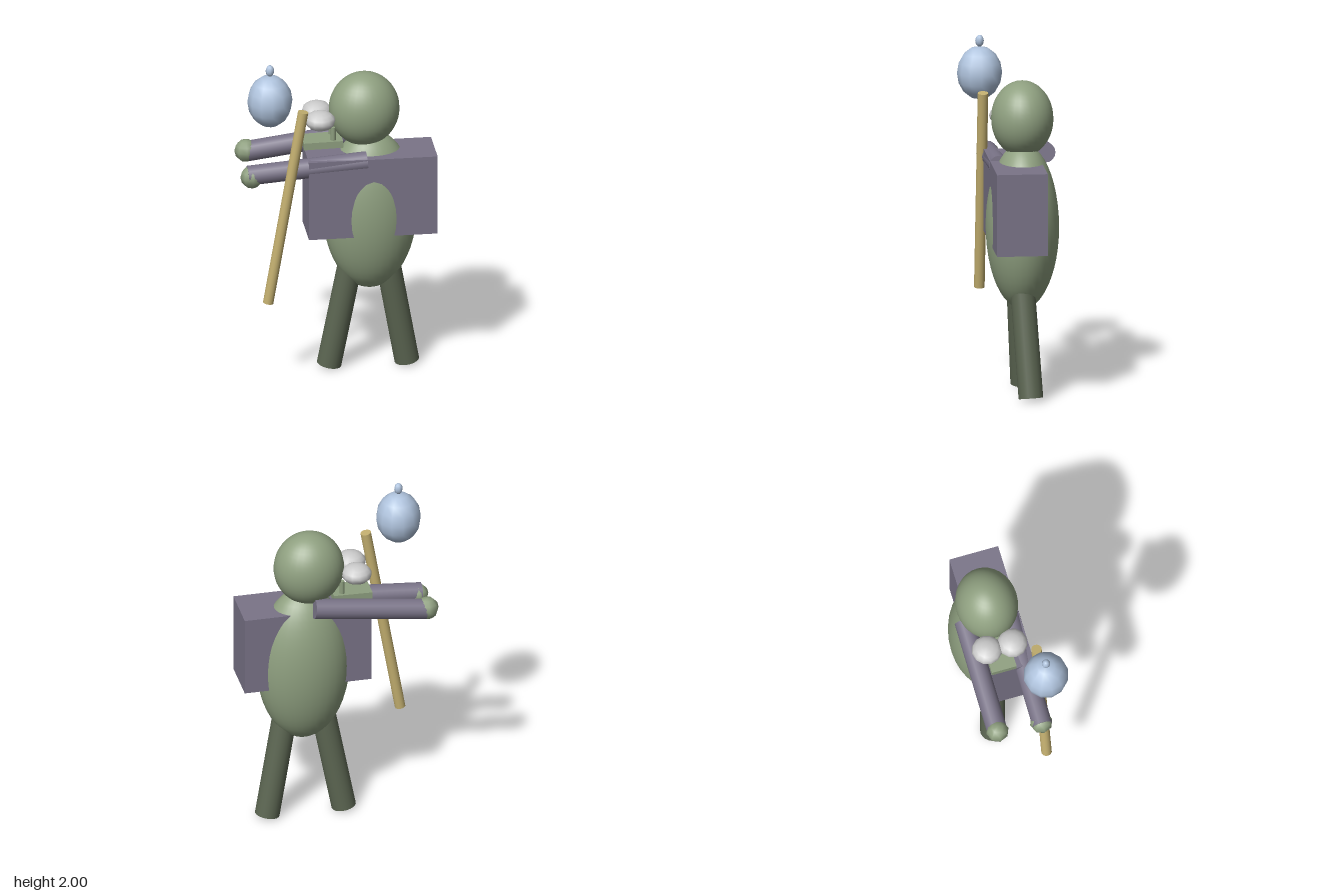
import * as THREE from 'three';

const mat = (color) => new THREE.MeshStandardMaterial({ color });

export function createModel() {
  const model = new THREE.Group();
  const skin = mat(0x8fa080);
  const legSkin = mat(0x5c6652);
  const cloth = mat(0x7a7488);
  const wood = mat(0xc4b070);
  const glass = mat(0xb0c4de);
  const white = mat(0xf0f0f0);

  const add = (name, geometry, material, x = 0, y = 0, z = 0) => {
    const mesh = new THREE.Mesh(geometry, material);
    mesh.name = name;
    mesh.position.set(x, y, z);
    model.add(mesh);
    return mesh;
  };

  // Sphere stretched to three radii
  const ellipsoid = (name, material, [x, y, z], [rx, ry, rz], w = 32, h = 24) =>
    add(name, new THREE.SphereGeometry(1, w, h).scale(rx, ry, rz), material, x, y, z);

  // Cylinder running between two points
  const rod = (name, material, from, to, radius, sides = 16) => {
    const a = new THREE.Vector3(...from);
    const b = new THREE.Vector3(...to);
    const dir = b.clone().sub(a);
    const mesh = add(name, new THREE.CylinderGeometry(radius, radius, dir.length(), sides), material);
    mesh.position.copy(a).add(b).multiplyScalar(0.5);
    mesh.quaternion.setFromUnitVectors(new THREE.Vector3(0, 1, 0), dir.normalize());
    return mesh;
  };

  // Body, head and boxy vest
  ellipsoid('body', skin, [0.2, 0.99, -0.053], [0.275, 0.49, 0.213]);
  ellipsoid('head', skin, [0.167, 1.62, -0.056], [0.206, 0.222, 0.181]);
  add('vest', new THREE.BoxGeometry(0.753, 0.485, 0.295), cloth, 0.196, 1.128, -0.015);

  // Face, turned towards -x: bill, nostril posts and eyes
  const bill = add('bill', new THREE.BoxGeometry(0.23, 0.042, 0.15), skin, -0.08, 1.427, -0.056);
  bill.rotation.z = 0.02;
  for (const side of [-1, 1]) {
    rod('nostrilPost', skin, [-0.02, 1.42, -0.056 + side * 0.047], [-0.02, 1.53, -0.056 + side * 0.047], 0.015, 8);
    ellipsoid('eye', white, [-0.1, 1.587, -0.056 + side * 0.077], [0.089, 0.058, 0.089], 12, 8);
  }

  // Legs spreading from the hips
  rod('rightLeg', legSkin, [-0.035, 0.013, -0.08], [0.098, 0.73, -0.038], 0.072, 20);
  rod('leftLeg', legSkin, [0.42, 0.013, -0.08], [0.29, 0.73, -0.038], 0.072, 20);

  // Arms reaching forward, with hands
  rod('frontArm', cloth, [-0.53, 1.288, 0.076], [0.165, 1.342, 0.079], 0.058);
  rod('backArm', cloth, [-0.5, 1.33, -0.19], [0.165, 1.415, -0.19], 0.06);
  ellipsoid('frontHand', skin, [-0.508, 1.278, 0.075], [0.067, 0.067, 0.067], 8, 6);
  ellipsoid('backHand', skin, [-0.508, 1.335, -0.19], [0.067, 0.067, 0.067], 8, 6);

  // Staff with a floating orb and its small finial
  rod('staff', wood, [-0.42, 0.505, 0.133], [-0.215, 1.695, 0.133], 0.031);
  ellipsoid('orb', glass, [-0.41, 1.776, 0.133], [0.132, 0.157, 0.132], 12, 8);
  ellipsoid('orbFinial', glass, [-0.41, 1.965, 0.133], [0.025, 0.035, 0.025], 8, 8);

  return model;
}
